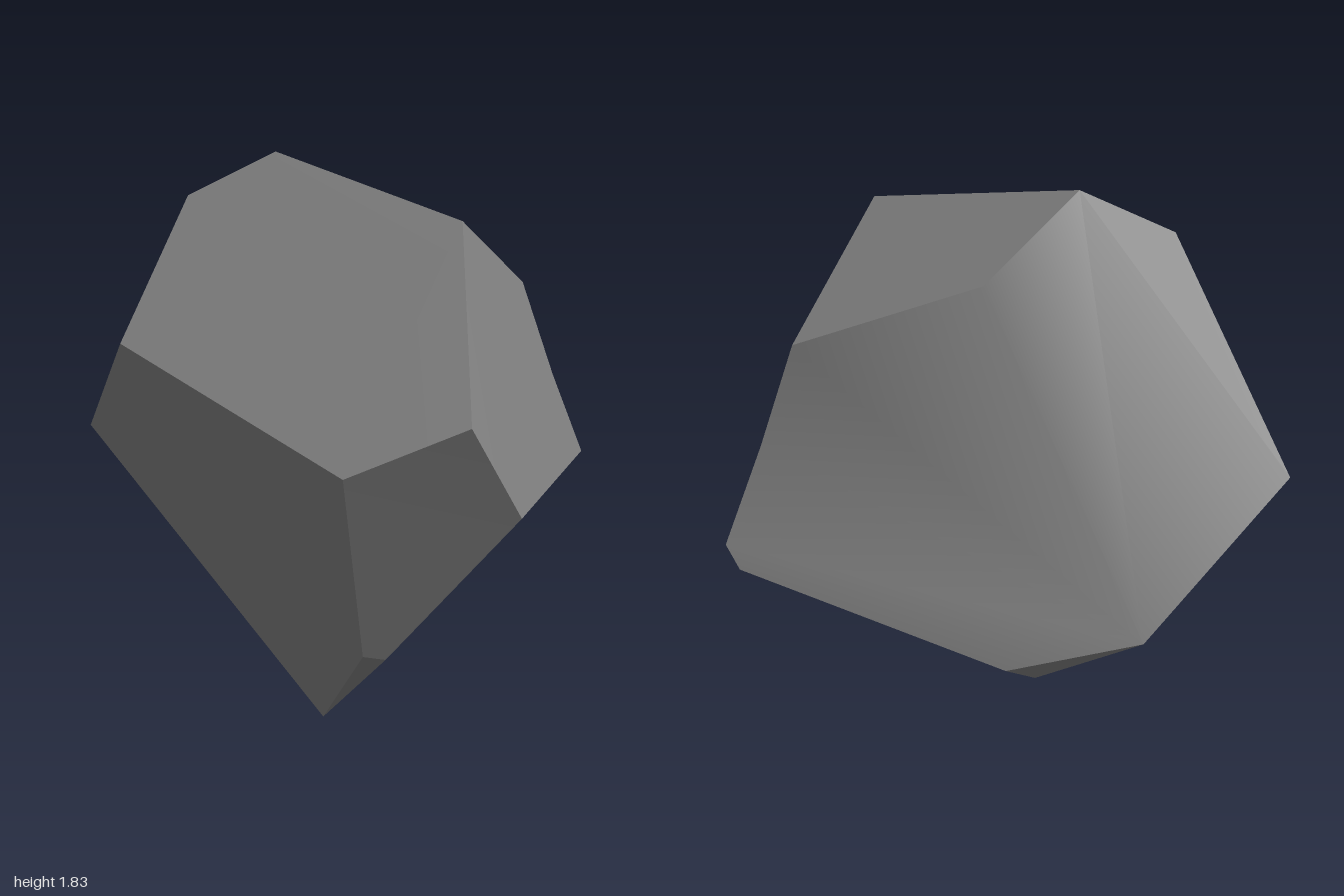
import * as THREE from 'three';

// Corners of the cut boulder
const P = {
  A: [0.11, 1.83, -0.33], B: [-0.07, 1.65, 0.56], C: [0.49, 1.62, -0.22],
  D: [0.64, 1.37, 0.38], E: [0.71, 1.03, 0.48], F: [0.85, 0.72, 0.54],
  G: [0.86, 0.65, 0.48], H: [-0.43, 0.88, 1.0], I: [-0.66, 1.18, 0.97],
  J: [-0.86, 1.04, 0.7], K: [-0.64, 1.25, -0.36], L: [-0.1, 1.68, -0.56],
  M: [-0.1, 0.94, -1.0], N: [-0.38, 0.86, -0.81], O: [0.52, 0.6, -0.79],
  P: [0.67, 0.455, -0.4], Q: [0.48, 0.31, -0.4], R: [0, 0, 0.15],
  S: [-0.38, 0.03, 0.26], T: [-0.54, 0.39, 0.62], U: [-0.6, 0.41, 0.58],
};

// Each facet is one or more corner loops; loops in one facet share smooth normals
const FACETS = {
  topFacet: ['ABDC'],
  upperLeftFacet: ['JIBALK'],
  frontFacet: ['HFEDBI'],
  lowerFrontFacet: ['HTSRGF'],
  leftFrontFacet: ['HIJUT'],
  lowerLeftChip: ['TUS'],
  lowerLeftFacet: ['JKNSU'],
  backLeftFacet: ['LKNM'],
  undersideFacet: ['OMNSRQ'],
  lowerRightFacet: ['GPQR'],
  lowerBackChip: ['OPQ'],
  rightAndBackFacet: ['OCDEFGP', 'ACOML'],
};

const CENTRE = new THREE.Vector3(0, 0.9, 0);

// Fans each loop from its first corner, turning every triangle outward
function facetGeometry(loops) {
  const keys = [...new Set(loops.join(''))];
  const pts = keys.map((k) => new THREE.Vector3(...P[k]));
  const index = [];
  for (const loop of loops) {
    const ids = [...loop].map((k) => keys.indexOf(k));
    for (let i = 1; i < ids.length - 1; i++) {
      const [a, b, c] = [ids[0], ids[i], ids[i + 1]];
      const tri = new THREE.Triangle(pts[a], pts[b], pts[c]);
      const normal = tri.getNormal(new THREE.Vector3());
      const outward = normal.dot(pts[a].clone().sub(CENTRE)) > 0;
      index.push(...(outward ? [a, b, c] : [a, c, b]));
    }
  }
  const geo = new THREE.BufferGeometry().setFromPoints(pts);
  geo.setIndex(index);
  geo.computeVertexNormals();
  return geo;
}

export function createModel() {
  const stone = new THREE.MeshStandardMaterial({ color: 0x808080 });
  stone.name = 'grey stone';

  const rock = new THREE.Group();
  rock.name = 'rock';
  for (const [name, loops] of Object.entries(FACETS)) {
    const mesh = new THREE.Mesh(facetGeometry(loops), stone);
    mesh.name = name;
    rock.add(mesh);
  }
  return rock;
}
